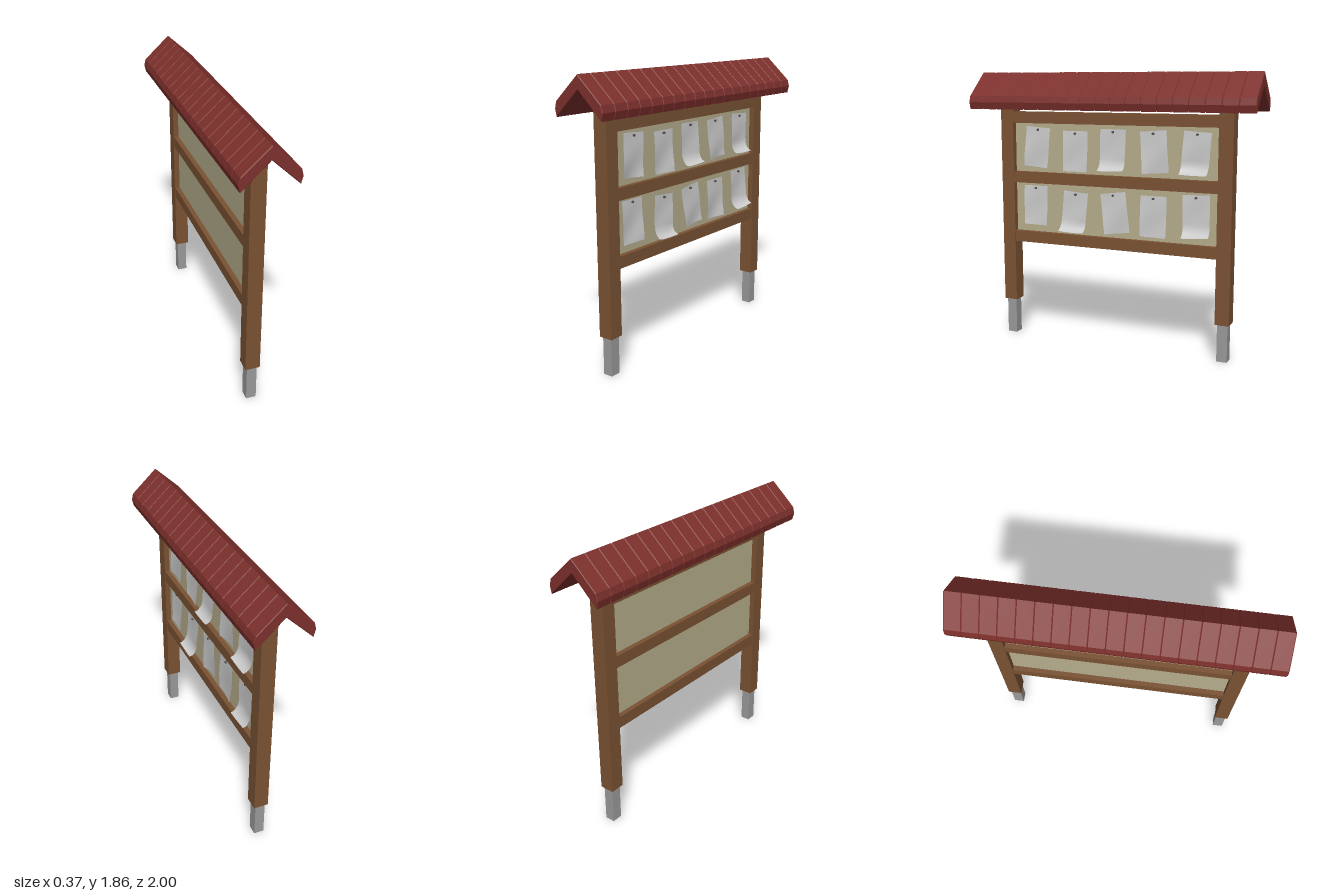
import * as THREE from 'three';

const paint = (color, extra = {}) => {
  const m = new THREE.MeshStandardMaterial({ ...extra });
  m.color.set(color);
  return m;
};
const wood = paint(0x7a5233);
const roofRed = paint(0x7d302c);
const cork = paint(0xb5ad8c);
const steel = paint(0x9a9a9a);
const pinGrey = paint(0x555555);
const paper = paint(0xd6d6d6, { side: THREE.DoubleSide });

function add(parent, name, geometry, material, x = 0, y = 0, z = 0) {
  const mesh = new THREE.Mesh(geometry, material);
  mesh.name = name;
  mesh.position.set(x, y, z);
  parent.add(mesh);
  return mesh;
}

// Outline in x/y pushed along z, centred on z = 0
function extrudeZ(points, depth, bevel = 0) {
  const shape = new THREE.Shape(points.map(([x, y]) => new THREE.Vector2(x, y)));
  return new THREE.ExtrudeGeometry(shape, {
    depth: depth - 2 * bevel,
    bevelEnabled: bevel > 0,
    bevelSize: bevel, bevelThickness: bevel, bevelOffset: -bevel, bevelSegments: 1,
  }).translate(0, 0, bevel - depth / 2);
}

// Sheet facing +x: gently waved, with an optional lip that curls outward
function sheetGeometry(w, h, curl, phase) {
  const g = new THREE.PlaneGeometry(w, h, 8, 20);
  const p = g.attributes.position;
  const bendStart = 0.72;
  for (let i = 0; i < p.count; i++) {
    const u = p.getX(i) / w;
    const v = 0.5 - p.getY(i) / h;
    let out = 0.006 * v * (1 + Math.sin(v * 5 + u * 3 + phase)) + 0.03 * u * u * v;
    let drop = v;
    if (curl) {
      const k = Math.max(0, (v - bendStart) / (1 - bendStart)) * Math.PI / 2;
      drop = Math.min(v, bendStart) + (1 - bendStart) * Math.sin(k);
      out = out * Math.cos(k) + 0.062 * (1 - Math.cos(k));
      drop -= 0.05 * Math.sin(k) * (u + 0.3) * (u + 0.3); // lip sags unevenly
    }
    p.setXYZ(i, u * w, h * (0.5 - drop), out);
  }
  g.computeVertexNormals();
  return g;
}

export function createModel() {
  const model = new THREE.Group();
  model.name = 'noticeBoard';

  // Posts with gabled tops standing on steel feet
  const postOutline = [[-0.048, 0.25], [0.048, 0.25], [0.048, 1.728], [0, 1.773], [-0.048, 1.728]];
  for (const side of [1, -1]) {
    add(model, 'post', extrudeZ(postOutline, 0.095), wood, 0, 0, side * 0.783);
    add(model, 'postFoot', new THREE.BoxGeometry(0.066, 0.26, 0.07), steel, 0, 0.13, side * 0.783);
  }

  // Rails and the thin panel between them
  for (const y of [0.718, 1.139, 1.553]) {
    add(model, 'rail', new THREE.BoxGeometry(0.088, 0.077, 1.48), wood, 0, y, 0);
  }
  add(model, 'panel', new THREE.BoxGeometry(0.022, 0.8, 1.48), cork, 0, 1.135, 0);

  // Roof: a row of bevelled planks on each slope
  const roof = new THREE.Group();
  roof.name = 'roof';
  model.add(roof);
  const planks = 19;
  const pitch = 2 / planks;
  const plankGeometry = extrudeZ([
    [0, 1.773], [0.172, 1.61], [0.184, 1.657], [0.173, 1.7], [0, 1.858],
    [-0.173, 1.7], [-0.184, 1.657], [-0.172, 1.61],
  ], pitch, 0.004);
  for (let i = 0; i < planks; i++) {
    add(roof, 'roofPlank', plankGeometry, roofRed, 0, 0, -1 + (i + 0.5) * pitch);
  }

  // Pinned notices: z, y, tilt, curled
  const notices = [
    [0.565, 1.35, -0.07, false],
    [0.272, 1.33, 0, false],
    [-0.005, 1.348, -0.01, true],
    [-0.3, 1.345, 0.08, false],
    [-0.582, 1.347, -0.06, true],
    [0.58, 0.943, 0, false],
    [0.28, 0.915, -0.07, true],
    [-0.022, 0.925, 0.13, false],
    [-0.295, 0.92, 0, false],
    [-0.59, 0.943, 0.03, true],
  ];
  const pinGeometry = new THREE.CylinderGeometry(0.008, 0.008, 0.012, 10).rotateX(Math.PI / 2);
  notices.forEach(([z, y, tilt, curled], i) => {
    const notice = new THREE.Group();
    notice.name = 'notice';
    notice.position.set(0.014, y, z);
    notice.rotation.set(0, Math.PI / 2, tilt);
    add(notice, 'sheet', sheetGeometry(0.183, 0.275, curled, i * 1.7), paper);
    add(notice, 'pin', pinGeometry, pinGrey, 0, 0.12, 0.005);
    model.add(notice);
  });

  return model;
}
